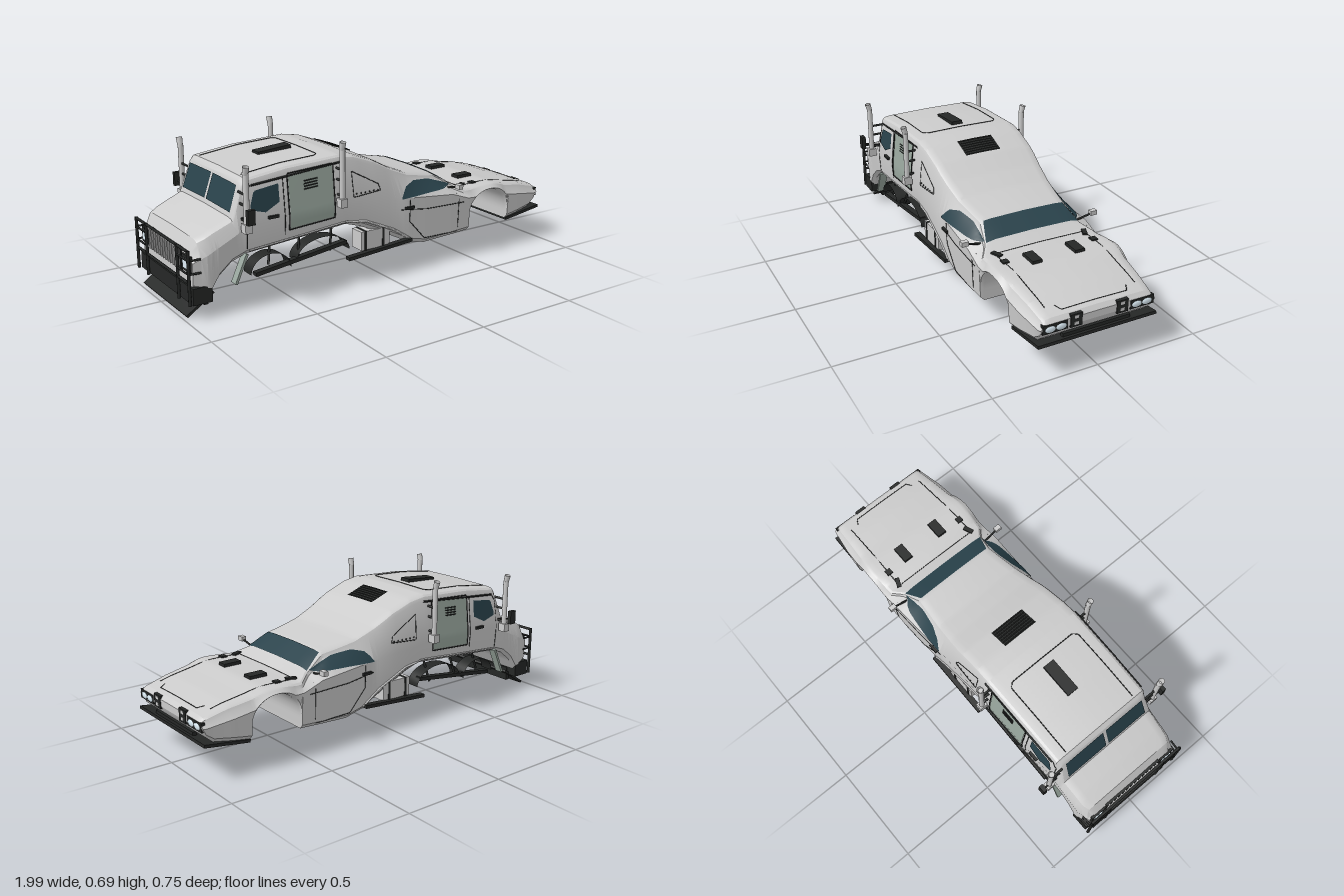
import * as THREE from 'three';
import { toCreasedNormals } from 'three/addons/utils/BufferGeometryUtils.js';

const mat = (color) => new THREE.MeshStandardMaterial({ color, side: THREE.DoubleSide });
const GREY = mat(0xcccccc), DARK = mat(0x252726), GLASS = mat(0x29424b);
const GREEN = mat(0x9aa89f), LAMP = mat(0xdcecf5);

// Straight interpolation through [position, value] pairs
function lerp(keys, x) {
  if (x <= keys[0][0]) return keys[0][1];
  for (let i = 1; i < keys.length; i++) {
    const [a, va] = keys[i - 1], [b, vb] = keys[i];
    if (x <= b) return b === a ? vb : va + (vb - va) * (x - a) / (b - a);
  }
  return keys[keys.length - 1][1];
}

// Body outlines along x
const TOP = [[-0.96, 0.29], [-0.93, 0.345], [-0.86, 0.378], [-0.77, 0.415], [-0.72, 0.56], [-0.7, 0.58], [-0.5, 0.605],
  [-0.23, 0.618], [-0.15, 0.605], [-0.04, 0.565], [0.065, 0.51], [0.17, 0.467], [0.27, 0.447], [0.34, 0.435],
  [0.44, 0.375], [0.5, 0.346], [0.68, 0.347], [0.87, 0.315], [0.975, 0.288], [0.992, 0.268]];
const BOTTOM = [[-0.96, 0.13], [-0.88, 0.11], [-0.84, 0.17], [-0.78, 0.22], [-0.71, 0.245], [-0.25, 0.28], [-0.2, 0.285],
  [-0.12, 0.26], [0.04, 0.19], [0.15, 0.135], [0.25, 0.112], [0.5, 0.128], [0.77, 0.145], [0.94, 0.17], [0.975, 0.2], [0.992, 0.235]];
const BELT = [[-0.96, 0.25], [-0.77, 0.34], [-0.7, 0.38], [-0.2, 0.38], [0.1, 0.36], [0.4, 0.335], [0.5, 0.3], [0.65, 0.295], [0.985, 0.24]];
const HALF = [[-0.96, 0.265], [-0.9, 0.285], [-0.2, 0.29], [0.1, 0.295], [0.4, 0.308], [0.65, 0.313], [0.85, 0.302], [0.99, 0.28]];
const ROOF = [[-0.96, 0.24], [-0.9, 0.265], [-0.77, 0.27], [-0.72, 0.255], [-0.7, 0.265], [-0.23, 0.268], [0, 0.262], [0.17, 0.245],
  [0.34, 0.225], [0.44, 0.25], [0.5, 0.292], [0.65, 0.298], [0.99, 0.268]];
const ARCH = { x: 0.64, y: 0.185, rx: 0.128, ry: 0.135 };

// Half cross-section [z, y], from the floor round the side to the roof centre
function section(x) {
  const top = lerp(TOP, x), half = lerp(HALF, x), roof = lerp(ROOF, x);
  const d = (x - ARCH.x) / ARCH.rx;
  const bottom = Math.abs(d) <= 1 ? ARCH.y + ARCH.ry * Math.sqrt(1 - d * d) : lerp(BOTTOM, x);
  const h = top - bottom, r = Math.min(0.03, 0.35 * h);
  const belt = Math.min(Math.max(lerp(BELT, x), bottom + 0.3 * h), top - r - 0.05 * h);
  return [[0, bottom], [half - 0.025, bottom], [half - 0.007, bottom + Math.min(0.02, 0.15 * h)], [half, belt],
    [roof, top - r], [roof - 0.007, top - r * 0.5], [roof - 0.018, top - r * 0.25], [roof - 0.045, top - r * 0.12], [0, top]];
}
const sideZ = (x, y) => lerp(section(x).slice(1, 7).map(([z, v]) => [v, z]), y);
const topY = (x, z) => lerp(section(x).slice(4).reverse(), Math.abs(z));

function bodyGeometry() {
  const xs = [...TOP, ...BOTTOM].map((k) => k[0]);
  for (let x = -0.95; x < 0.98; x += 0.025) xs.push(x);
  const inArch = (x) => Math.abs(x - ARCH.x) < ARCH.rx + 0.004;
  const list = xs.filter((x) => !inArch(x));
  for (let i = 0; i <= 24; i++) list.push(ARCH.x - ARCH.rx * 0.99999 * Math.cos(Math.PI * i / 24));
  list.push(ARCH.x - ARCH.rx - 0.0005, ARCH.x + ARCH.rx + 0.0005);
  list.sort((a, b) => a - b);
  const st = list.filter((x, i) => i === 0 || x - list[i - 1] > 1e-4);
  const pos = [], index = [];
  for (const x of st) {
    const s = section(x);
    const ring = [...s, ...s.slice(1, -1).reverse().map(([z, y]) => [-z, y])];
    for (const [z, y] of ring) pos.push(x, y, z);
  }
  const n = 16;
  for (let i = 0; i < st.length - 1; i++) for (let j = 0; j < n; j++) {
    const a = i * n + j, b = a + n, c = i * n + (j + 1) % n, d = c + n;
    index.push(a, b, c, b, d, c);
  }
  const last = (st.length - 1) * n;
  for (let j = 1; j < n - 1; j++) index.push(0, j, j + 1, last, last + j + 1, last + j);
  const g = new THREE.BufferGeometry();
  g.setAttribute('position', new THREE.Float32BufferAttribute(pos, 3));
  g.setIndex(index);
  return toCreasedNormals(g, 0.45);
}

// Points lying just above the side or the top of the body
const onSide = (x, y, s, off = 0.003) => new THREE.Vector3(x, y, s * (sideZ(x, y) + off));
function onTop(x, z, off = 0.003) {
  const k = (topY(x + 0.004, z) - topY(x - 0.004, z)) / 0.008, l = Math.hypot(k, 1);
  return new THREE.Vector3(x - off * k / l, topY(x, z) + off / l, z);
}
function gridGeometry(fn, nu = 16, nv = 10) {
  const g = new THREE.PlaneGeometry(1, 1, nu, nv), p = g.attributes.position;
  for (let i = 0; i < p.count; i++) {
    const v = fn(p.getX(i) + 0.5, p.getY(i) + 0.5);
    p.setXYZ(i, v.x, v.y, v.z);
  }
  g.computeVertexNormals();
  return g;
}

export function createModel() {
  const root = new THREE.Group();
  const add = (name, geo, m = GREY) => {
    const mesh = new THREE.Mesh(geo, m);
    mesh.name = name;
    root.add(mesh);
    return mesh;
  };
  const box = (name, x, y, z, w, h, d, m = DARK, tilt = 0) => {
    const b = add(name, new THREE.BoxGeometry(w, h, d), m);
    b.position.set(x, y, z);
    b.rotation.z = tilt;
    return b;
  };
  const path = (name, pts, r = 0.002, m = DARK, sides = 5) => {
    const c = new THREE.CurvePath();
    const v = pts.map((p) => (p.isVector3 ? p : new THREE.Vector3(...p)));
    for (let i = 1; i < v.length; i++) c.add(new THREE.LineCurve3(v[i - 1], v[i]));
    return add(name, new THREE.TubeGeometry(c, Math.max(4, v.length * 3), r, sides), m);
  };
  // Seam drawn over the surface through straight corners
  const seam = (name, corners, place, r = 0.002, m = DARK) => {
    const pts = [];
    for (let i = 1; i < corners.length; i++) for (let k = i > 1 ? 1 : 0; k <= 8; k++) {
      const [a, b] = [corners[i - 1], corners[i]], t = k / 8;
      pts.push(place(a[0] + (b[0] - a[0]) * t, a[1] + (b[1] - a[1]) * t));
    }
    path(name, pts, r, m, 4);
  };
  const sidePanel = (name, s, low, high, m, off) => {
    const x0 = low[0][0], x1 = low[low.length - 1][0];
    add(name, gridGeometry((u, v) => {
      const x = x0 + (x1 - x0) * u, a = lerp(low, x), b = lerp(high, x);
      return onSide(x, a + (b - a) * v, s, off);
    }), m);
  };
  const topPanel = (name, x0, x1, edge0, edge1, m, off) => add(name, gridGeometry((u, v) => {
    const a = edge0[0] + (edge1[0] - edge0[0]) * u, b = edge0[1] + (edge1[1] - edge0[1]) * u;
    return onTop(x0 + (x1 - x0) * u, a + (b - a) * v, off);
  }), m);

  add('body', bodyGeometry());

  // Windscreens, roof hatch and vents
  topPanel('carWindscreen', 0.345, 0.437, [-0.205, 0.205], [-0.238, 0.238], GLASS, 0.004);
  topPanel('roofLouver', -0.15, -0.05, [-0.092, 0.092], [-0.092, 0.092], DARK, 0.004);
  for (let i = 0; i < 7; i++) seam('louverSlat', [[-0.143 + i * 0.0145, -0.088], [-0.143 + i * 0.0145, 0.088]], (x, z) => onTop(x, z, 0.005), 0.003);
  box('roofVent', -0.425, 0.613, 0, 0.17, 0.018, 0.058, DARK, 0.08);
  seam('roofHatchSeam', [[-0.69, -0.2], [-0.32, -0.2], [-0.3, -0.18], [-0.3, 0.18], [-0.32, 0.2], [-0.69, 0.2]], (x, z) => onTop(x, z, 0.001));
  seam('hoodSeam', [[0.92, -0.22], [0.5, -0.23], [0.5, 0.23], [0.92, 0.22]], (x, z) => onTop(x, z, 0));
  seam('hoodFrontSeam', [[0.92, -0.175], [0.95, -0.16], [0.95, 0.16], [0.92, 0.175]], (x, z) => onTop(x, z, 0));

  // Car nose and truck grille
  box('frontLip', 0.883, 0.155, 0, 0.225, 0.014, 0.58, DARK, 0.14);
  box('noseGrille', 0.968, 0.182, 0, 0.02, 0.018, 0.33);
  box('grille', -0.962, 0.245, 0, 0.012, 0.1, 0.33);
  for (let i = 0; i <= 12; i++) box('grilleBar', -0.972, 0.245, -0.15 + i * 0.025, 0.012, 0.092, 0.009, GREY);
  box('bumper', -0.925, 0.105, 0, 0.09, 0.075, 0.555);
  box('plow', -0.918, 0.048, 0, 0.155, 0.012, 0.465, DARK, 0.6);
  box('plowBack', -0.885, 0.07, 0, 0.02, 0.07, 0.44);
  for (const y of [0.17, 0.31]) path('guardBar', [[-0.983, y, -0.275], [-0.983, y, 0.275]], 0.007);

  for (const s of [1, -1]) {
    const on = (off) => (x, y) => onSide(x, y, s, off);

    // Glass and side panels
    topPanel('truckWindscreen', -0.763, -0.724, [s * 0.008, s * 0.235], [s * 0.008, s * 0.228], GLASS, 0.004);
    sidePanel('carWindow', s, [[0.1, 0.357], [0.25, 0.362], [0.4, 0.362], [0.425, 0.37]], [[0.1, 0.362], [0.135, 0.408], [0.2, 0.425], [0.3, 0.414], [0.425, 0.373]], GLASS, 0.004);
    sidePanel('truckWindow', s, [[-0.69, 0.44], [-0.62, 0.42], [-0.55, 0.455]], [[-0.69, 0.46], [-0.67, 0.52], [-0.55, 0.535]], GLASS, 0.004);
    sidePanel('sleeperPanel', s, [[-0.5, 0.325], [-0.275, 0.34]], [[-0.5, 0.565], [-0.275, 0.578]], GREEN, 0.004);
    for (let i = 0; i < 4; i++) seam('panelVent', [[-0.425, 0.49 + i * 0.012], [-0.355, 0.494 + i * 0.012]], on(0.005), 0.003);
    seam('panelFrame', [[-0.505, 0.32], [-0.505, 0.57], [-0.27, 0.583], [-0.27, 0.335], [-0.505, 0.32]], on(0.004), 0.003);
    seam('truckDoorSeam', [[-0.71, 0.27], [-0.71, 0.5], [-0.685, 0.545], [-0.525, 0.56], [-0.525, 0.27]], on(0));
    seam('rearHatchSeam', [[-0.17, 0.53], [-0.025, 0.45], [-0.015, 0.42], [-0.165, 0.41], [-0.17, 0.53]], on(0));
    seam('carDoorSeam', [[0.15, 0.35], [0.15, 0.24], [0.24, 0.14], [0.44, 0.14], [0.44, 0.33]], on(0));
    seam('doorCrease', [[0.1, 0.305], [0.25, 0.287], [0.47, 0.285]], on(0));
    seam('strake', [[-0.7, 0.26], [-0.22, 0.3], [-0.1, 0.285], [0.06, 0.215], [0.16, 0.15]], on(0.001), 0.006, GREY);
    seam('gutterRail', [[-0.68, 0.545], [-0.22, 0.583]], on(0.003), 0.005);
    for (const [x, y] of [[-0.585, 0.395], [0.145, 0.31]]) box('doorHandle', x, y, s * (sideZ(x, y) + 0.005), 0.05, 0.012, 0.014);
    for (let i = 0; i < 6; i++) { // rivets
      const x = -0.15 + i * 0.024, r = add('rivet', new THREE.SphereGeometry(0.004, 6, 4), DARK);
      r.position.copy(onSide(x, 0.424, s, 0.001));
    }

    // Exhaust stacks with brackets and flared tips
    for (const [x, low, high] of [[-0.73, 0.37, 0.615], [-0.25, 0.4, 0.655]]) {
      const pipe = add('exhaustStack', new THREE.CylinderGeometry(0.013, 0.013, high - low, 12));
      pipe.position.set(x, (low + high) / 2, s * 0.319);
      const tip = add('exhaustTip', new THREE.CylinderGeometry(0.015, 0.013, 0.036, 12, 1, true));
      tip.position.set(x - 0.002, high + 0.014, s * 0.323);
      tip.rotation.x = s * 0.25;
      box('stackBase', x, low + 0.008, s * 0.319, 0.034, 0.04, 0.04, GREY);
      for (const t of [0.15, 0.42, 0.62]) {
        const y = low + (high - low) * t;
        path('stackBracket', [[x, y, s * 0.25], [x, y, s * 0.319]], 0.006, DARK, 6);
      }
    }

    // Mirrors
    box('truckMirror', -0.735, 0.438, s * 0.364, 0.035, 0.066, 0.02);
    path('truckMirrorArm', [[-0.73, 0.41, s * 0.27], [-0.735, 0.43, s * 0.36]], 0.004);
    box('carMirror', 0.415, 0.378, s * 0.333, 0.024, 0.022, 0.034, GREY);
    path('carMirrorArm', [[0.41, 0.355, s * 0.25], [0.415, 0.374, s * 0.325]], 0.005);

    // Hood scoops and corner trims
    box('hoodScoop', 0.622, 0.352, s * 0.107, 0.088, 0.018, 0.048);
    box('hoodTrim', 0.59, 0.347, s * 0.225, 0.03, 0.01, 0.03);
    box('hoodCorner', 0.515, 0.348, s * 0.225, 0.05, 0.008, 0.022, DARK).rotation.y = s * 0.4;

    // Headlamps on the car nose
    box('headlampHousing', 0.985, 0.245, s * 0.212, 0.018, 0.042, 0.118);
    for (const z of [0.184, 0.235]) {
      const lamp = add('headlamp', new THREE.SphereGeometry(1, 16, 10), LAMP);
      lamp.scale.set(0.006, 0.015, 0.025);
      lamp.position.set(0.994, 0.243, s * z);
    }
    box('spotlight', 0.985, 0.252, s * 0.112, 0.02, 0.06, 0.056);
    for (const y of [0.238, 0.268]) box('spotlightLens', 0.994, y, s * 0.112, 0.004, 0.014, 0.02, GREY);

    // Truck lamps and cage guard
    box('truckLampHousing', -0.962, 0.24, s * 0.215, 0.014, 0.07, 0.075);
    box('truckLamp', -0.97, 0.24, s * 0.215, 0.006, 0.045, 0.05, LAMP);
    for (const z of [0.165, 0.275]) path('guardPost', [[-0.985, 0.07, s * z], [-0.985, 0.315, s * z]], 0.008);
    for (const y of [0.21, 0.27]) path('lampGuard', [[-0.985, y, s * 0.165], [-0.985, y, s * 0.275], [-0.93, y, s * 0.28]], 0.005);

    // Fender flap, arched guards, side rails and tanks under the cab
    box('fenderFlap', -0.742, 0.185, s * 0.265, 0.012, 0.14, 0.04, GREEN, -0.42);
    for (const [x, y, rx, ry] of [[-0.595, 0.145, 0.1, 0.08], [-0.325, 0.165, 0.14, 0.085]]) {
      add('arcGuard', gridGeometry((u, v) => new THREE.Vector3(x - rx * Math.cos(Math.PI * u), y + ry * Math.sin(Math.PI * u), s * (0.21 + 0.07 * v)), 20, 1), DARK);
    }
    box('frameRail', -0.435, 0.172, s * 0.265, 0.475, 0.018, 0.03, DARK, 0.125);
    box('sideStep', -0.025, 0.138, s * 0.295, 0.36, 0.016, 0.03, DARK, 0.07);
    box('sideTank', -0.045, 0.19, s * 0.25, 0.16, 0.09, 0.075, GREY);
    for (const x of [-0.1, 0]) box('tankStrap', x, 0.19, s * 0.25, 0.012, 0.094, 0.08);
    for (const x of [-0.6, -0.45, -0.28]) path('railHanger', [[x, 0.17, s * 0.26], [x + 0.02, 0.27, s * 0.24]], 0.006);
  }
  return root;
}
